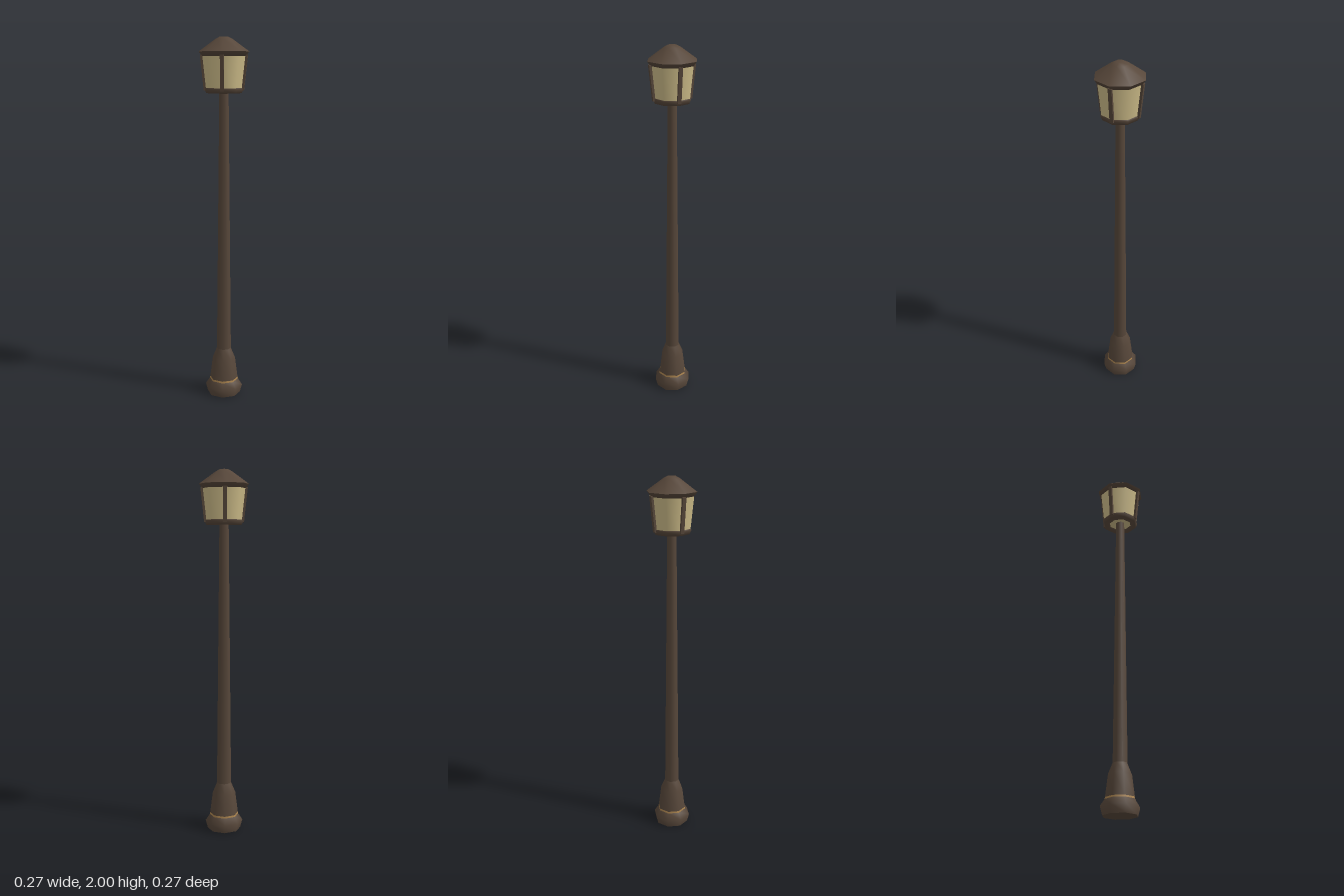
import * as THREE from 'three';

const SIDES = 8;

function mat(name, color) {
  const m = new THREE.MeshStandardMaterial({ color });
  m.name = name;
  return m;
}

export function createModel() {
  const iron = mat('brown iron', 0x57473a);
  const glass = mat('warm glass', 0xccbb88);
  const brass = mat('brass', 0xa8824e);
  const lamp = new THREE.Group();
  lamp.name = 'streetLamp';

  // Eight-sided turned part from [radius, y] pairs, bottom to top on the outside
  function turned(name, profile, material) {
    const points = profile.map(([r, y]) => new THREE.Vector2(r, y));
    const mesh = new THREE.Mesh(new THREE.LatheGeometry(points, SIDES), material);
    mesh.name = name;
    lamp.add(mesh);
    return mesh;
  }

  // Foot, flared base and tapering post
  turned('baseUnderside', [[0, 0], [0.093, 0]], iron);
  turned('foot', [[0.093, 0], [0.105, 0.045], [0.081, 0.081]], iron);
  turned('baseBand', [[0.081, 0.081], [0.079, 0.091]], brass);
  turned('base', [[0.079, 0.091], [0.064, 0.21], [0.04, 0.268]], iron);
  turned('post', [[0.04, 0.268], [0.025, 1.725]], iron);

  // Lantern glass with a closed floor
  turned('glassFloor', [[0, 1.718], [0.098, 1.718]], glass);
  turned('lanternGlass', [[0.098, 1.718], [0.118, 1.905]], glass);

  // Open ring holding the glass from below
  turned('lowerRing', [
    [0.065, 1.735], [0.065, 1.708], [0.095, 1.708], [0.105, 1.73], [0.098, 1.738],
  ], iron);

  // Four leaning bars on the corners of the glass
  const lean = Math.atan2(0.02, 0.187);
  for (let i = 0; i < 4; i++) {
    const arm = new THREE.Group();
    arm.name = 'lanternBar' + (i + 1);
    const bar = new THREE.Mesh(new THREE.BoxGeometry(0.02, 0.186, 0.018), iron);
    bar.position.set(0, 1.815, 0.108);
    bar.rotation.x = lean;
    arm.rotation.y = i * Math.PI / 2;
    arm.add(bar);
    lamp.add(arm);
  }

  // Roof with a narrow eave and blunt top
  turned('roofUnderside', [[0, 1.9], [0.117, 1.9], [0.134, 1.924]], iron);
  turned('roof', [[0.134, 1.924], [0.045, 1.988], [0.022, 2], [0, 2]], iron);

  return lamp;
}
